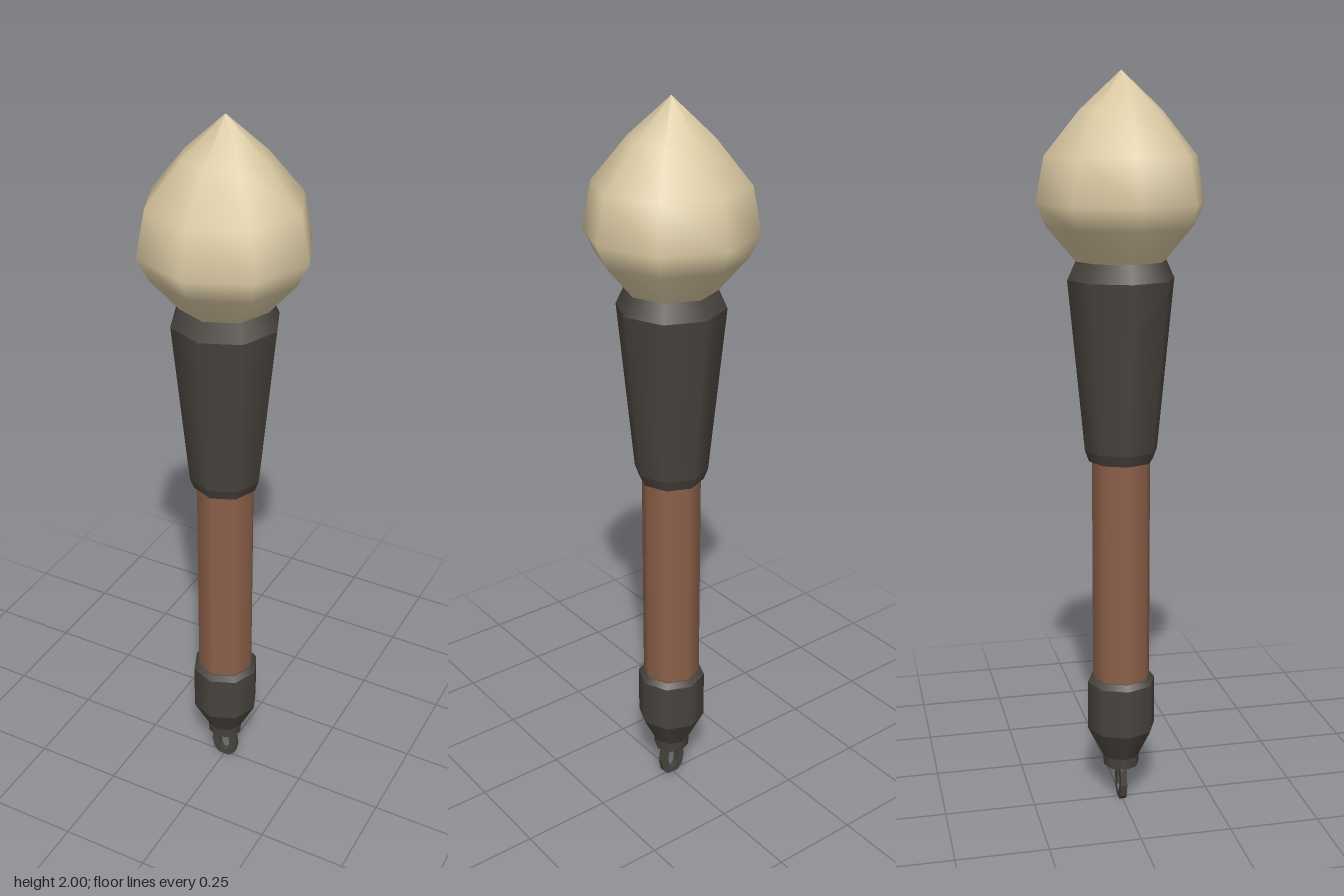
import * as THREE from 'three';
import { mergeGeometries } from 'three/addons/utils/BufferGeometryUtils.js';

const material = (name, color) => Object.assign(new THREE.MeshStandardMaterial({ color }), { name });

// Eight-sided turned part; each profile in the list is smooth, with hard edges between them
function turned(name, mat, profiles) {
  const parts = profiles.map((p) =>
    new THREE.LatheGeometry(p.map(([r, y]) => new THREE.Vector2(r, y)), 8));
  const mesh = new THREE.Mesh(mergeGeometries(parts), mat);
  mesh.name = name;
  return mesh;
}

export function createModel() {
  const cream = material('cream bristle', 0xd9c8a2);
  const dark = material('dark metal', 0x48433d);
  const brown = material('brown wood', 0x8c6049);
  const model = new THREE.Group();
  model.name = 'brush';

  // Pointed, round bristle head
  model.add(turned('bristleHead', cream, [
    [[0.11, 1.5], [0.122, 1.525], [0.195, 1.61], [0.224, 1.67], [0.2, 1.79], [0.108, 1.902], [0, 2]],
  ]));

  // Tapered ferrule with bevelled ends
  model.add(turned('ferrule', dark, [
    [[0, 0.99], [0.088, 0.99]],
    [[0.088, 0.99], [0.099, 1.02]],
    [[0.099, 1.02], [0.143, 1.475]],
    [[0.143, 1.475], [0.12, 1.525]],
    [[0.12, 1.525], [0, 1.525]],
  ]));

  // Straight wooden handle
  model.add(turned('handle', brown, [[[0.08, 0.34], [0.08, 1.0]]]));

  // End cap narrowing to a small neck
  model.add(turned('endCap', dark, [
    [[0, 0.104], [0.05, 0.104]],
    [[0.05, 0.104], [0.052, 0.135]],
    [[0.052, 0.135], [0.095, 0.22]],
    [[0.095, 0.22], [0.095, 0.357]],
    [[0.095, 0.357], [0.083, 0.373]],
    [[0.083, 0.373], [0, 0.373]],
  ]));

  // Flat oval hanging loop
  const outer = [[0.017, 0], [0.033, 0.016], [0.04, 0.05], [0.033, 0.095], [0.018, 0.115]];
  const inner = [[0.009, 0.017], [0.015, 0.03], [0.017, 0.055], [0.014, 0.088], [0.008, 0.1]];
  const mirrored = (half) => [...half, ...half.map(([x, y]) => [-x, y]).reverse()]
    .map(([x, y]) => new THREE.Vector2(x, y));
  const oval = new THREE.Shape(mirrored(outer));
  oval.holes.push(new THREE.Path(mirrored(inner)));
  const loopGeometry = new THREE.ExtrudeGeometry(oval, { depth: 0.018, bevelEnabled: false });
  loopGeometry.translate(0, 0, -0.009);
  const loop = new THREE.Mesh(loopGeometry, dark);
  loop.name = 'hangingLoop';
  model.add(loop);

  return model;
}
